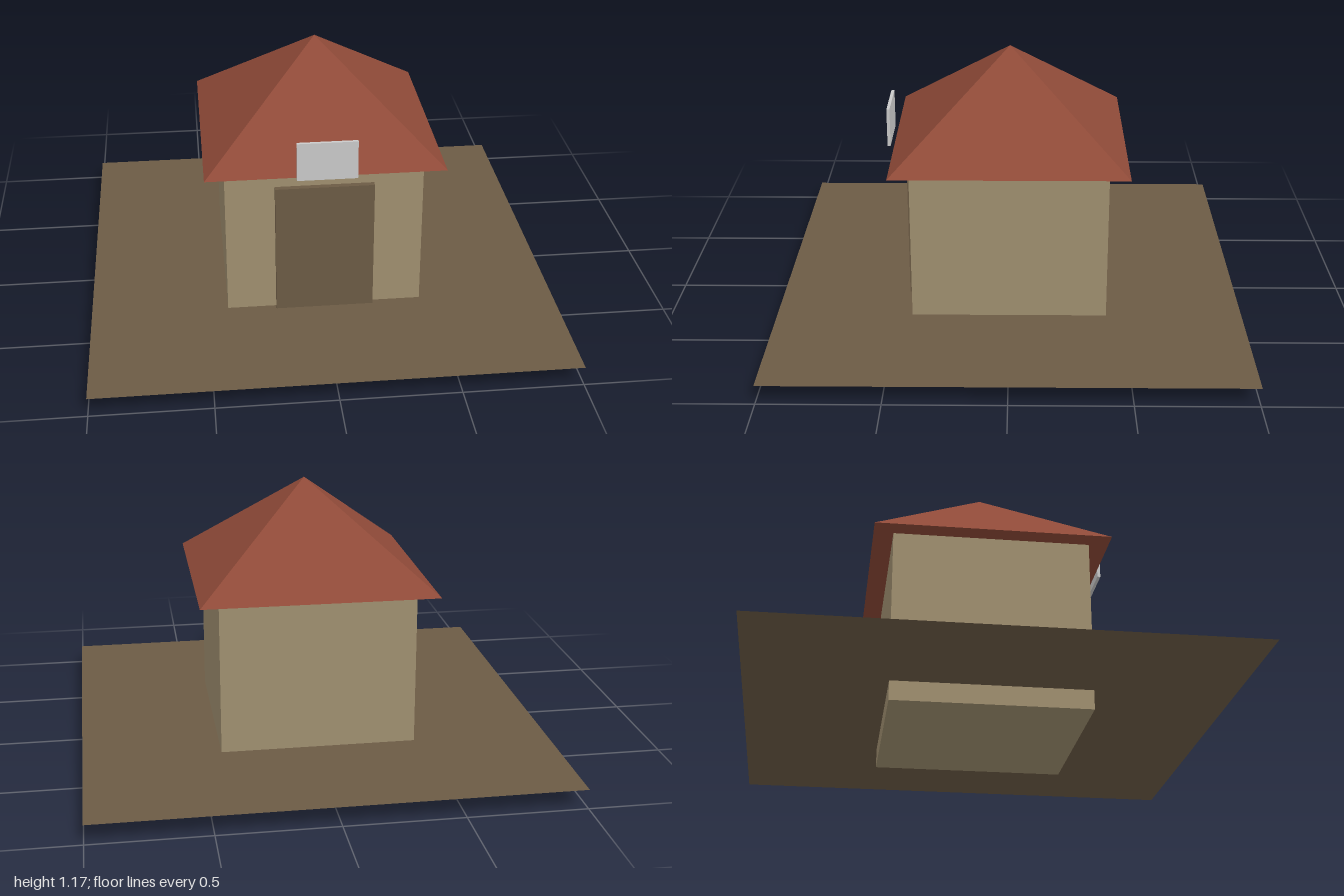
import * as THREE from 'three';

const material = (name, color) => {
  const m = new THREE.MeshStandardMaterial({ color });
  m.name = name;
  return m;
};

export function createModel() {
  const U = 1 / 12; // building module
  const wall = material('tan wall', 0xa09070);
  const roofRed = material('red roof', 0x8f4a38);
  const brown = material('brown earth and wood', 0x6c5b45);
  const grey = material('light grey', 0xcacaca);
  brown.side = THREE.DoubleSide;

  const model = new THREE.Group();
  model.name = 'hut';

  const add = (name, geometry, mat, x, y, z) => {
    const mesh = new THREE.Mesh(geometry, mat);
    mesh.name = name;
    mesh.position.set(x * U, y * U, z * U);
    model.add(mesh);
    return mesh;
  };
  const box = (w, h, d) => new THREE.BoxGeometry(w * U, h * U, d * U);

  // Thin yard sheet, with the walls sunk slightly through it
  add('ground', new THREE.PlaneGeometry(24 * U, 24 * U).rotateX(-Math.PI / 2), brown, 0, 1, 0);
  add('walls', box(10, 9, 10), wall, 0, 4.5, 0);

  // Four-sided pyramid roof with overhanging eaves
  const pyramid = new THREE.ConeGeometry(6 * Math.SQRT2 * U, 5 * U, 4, 1)
    .rotateY(Math.PI / 4).toNonIndexed();
  pyramid.computeVertexNormals();
  add('roof', pyramid, roofRed, 0, 11.5, 0);

  // Front door, and the blank board hung in front of the eave
  add('door', box(5, 7, 0.3), brown, 0, 4.5, 5.15);
  add('signBoard', box(3, 2, 0.16), grey, 0, 10, 6.26);

  return model;
}
